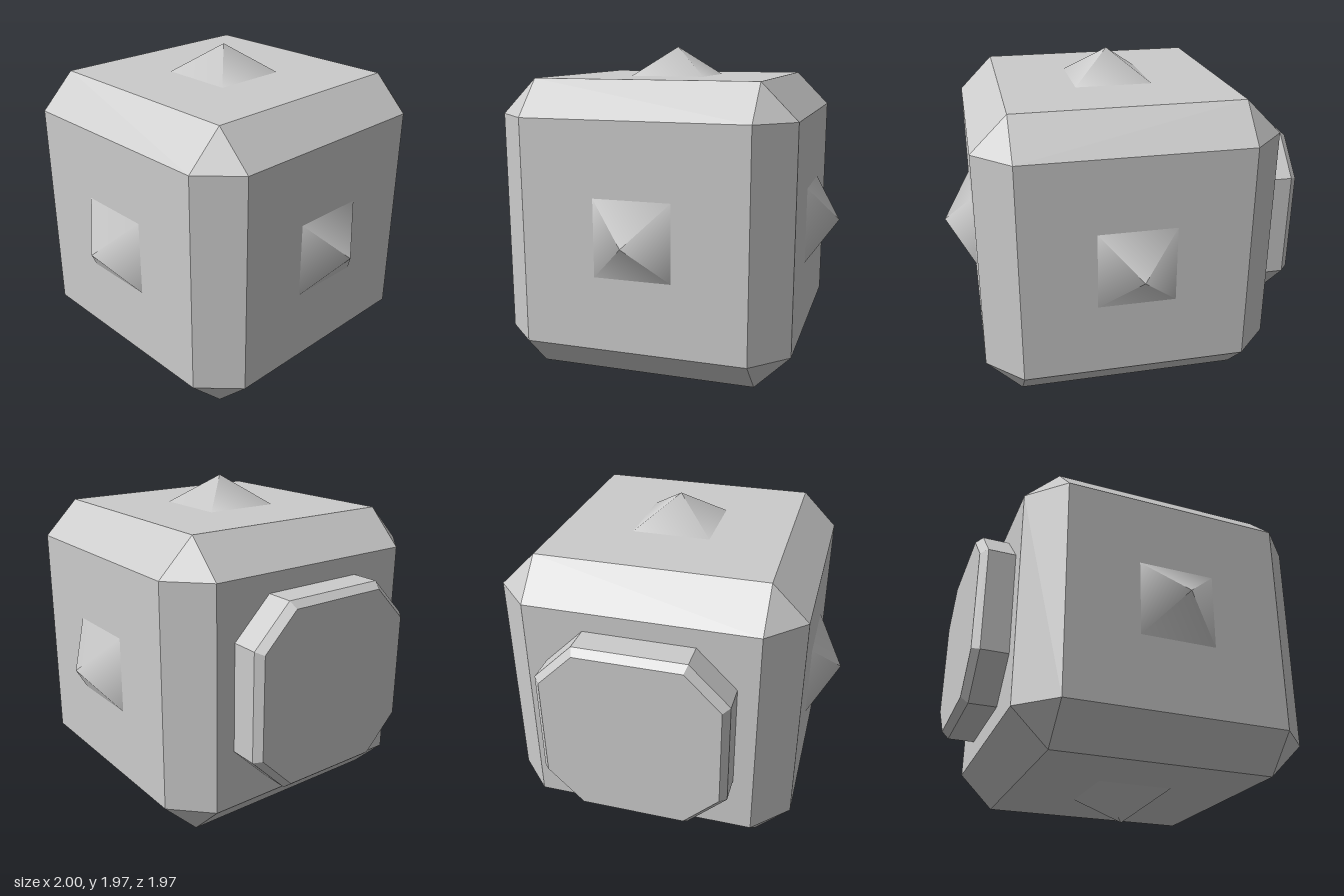
import * as THREE from 'three';
import { ConvexGeometry } from 'three/addons/geometries/ConvexGeometry.js';

const CENTER = new THREE.Vector3(0.013, 0.987, 0);
const HALF = 0.822;   // body centre to each face
const INNER = 0.625;  // half width of each flat face inside its chamfers
const SPIKE_HEIGHT = 0.165;
const SPIKE_HALF = 0.215;

export function createModel() {
  const group = new THREE.Group();
  const material = new THREE.MeshStandardMaterial({ color: 0xcccccc });

  const add = (name, geometry) => {
    const mesh = new THREE.Mesh(geometry, material);
    mesh.name = name;
    mesh.position.copy(CENTER);
    group.add(mesh);
    return mesh;
  };

  // Cube with chamfered edges and triangular corners
  const corners = [];
  for (const sx of [-1, 1]) for (const sy of [-1, 1]) for (const sz of [-1, 1]) {
    for (let axis = 0; axis < 3; axis++) {
      const p = new THREE.Vector3(INNER * sx, INNER * sy, INNER * sz);
      p.setComponent(axis, Math.sign(p.getComponent(axis)) * HALF);
      corners.push(p);
    }
  }
  add('body', new ConvexGeometry(corners));

  // Low square pyramids on every face except the one with the plug
  const spike = new THREE.ConeGeometry(SPIKE_HALF * Math.SQRT2, SPIKE_HEIGHT, 4, 1, true);
  spike.rotateY(Math.PI / 4);
  spike.translate(0, HALF + SPIKE_HEIGHT / 2, 0);
  const up = new THREE.Vector3(0, 1, 0);
  const directions = {
    topSpike: [0, 1, 0],
    bottomSpike: [0, -1, 0],
    leftSpike: [1, 0, 0],
    frontSpike: [0, 0, 1],
    backSpike: [0, 0, -1],
  };
  for (const [name, d] of Object.entries(directions)) {
    add(name, spike).quaternion.setFromUnitVectors(up, new THREE.Vector3(...d));
  }

  // Octagonal plug with a bevelled outer rim
  const R = 0.515, F = 0.3;
  const octagon = new THREE.Shape(
    [[R, -F], [R, F], [F, R], [-F, R], [-R, F], [-R, -F], [-F, -R], [F, -R]]
      .map(([x, y]) => new THREE.Vector2(x, y)));
  const plug = new THREE.ExtrudeGeometry(octagon, {
    depth: 0.2, bevelEnabled: true, bevelThickness: 0.04,
    bevelSize: 0.035, bevelOffset: -0.035, bevelSegments: 1,
  });
  plug.rotateY(-Math.PI / 2);
  add('plug', plug).position.set(-0.76, CENTER.y + 0.004, 0);

  return group;
}
